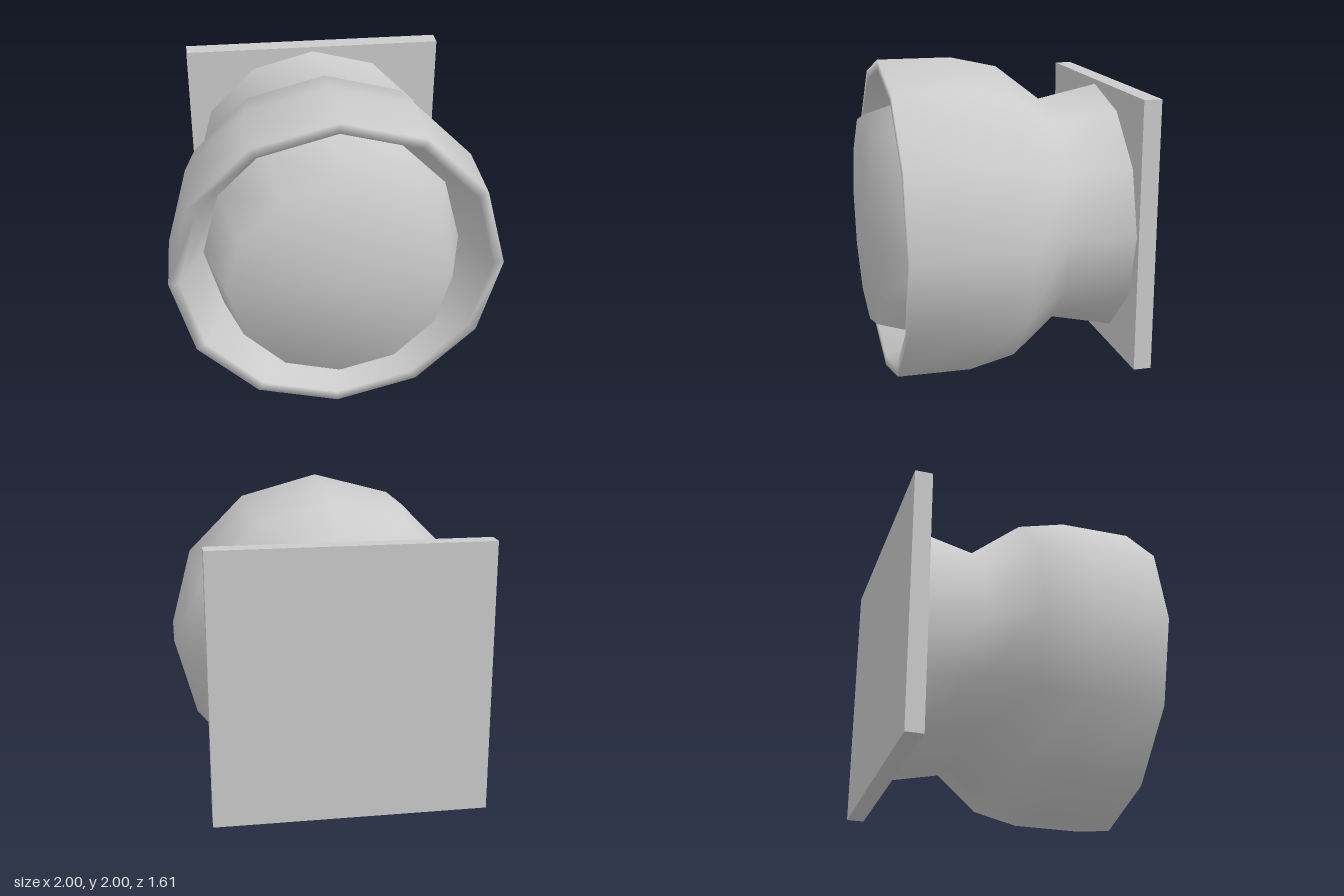
import * as THREE from 'three';

export function createModel() {
  const group = new THREE.Group();
  const material = new THREE.MeshStandardMaterial({ color: 0xcccccc });

  // Square mounting plate at the back
  const plate = new THREE.Mesh(new THREE.BoxGeometry(1.66, 1.66, 0.11), material);
  plate.name = 'mountingPlate';
  plate.position.set(0, 1, -0.745);
  group.add(plate);

  // Twelve-sided smooth turned part; profile is [radius, z] from back to front
  const turned = (name, profile) => {
    const points = profile.map(([r, z]) => new THREE.Vector2(r, z));
    const geometry = new THREE.LatheGeometry(points, 12);
    geometry.rotateX(Math.PI / 2);
    const mesh = new THREE.Mesh(geometry, material);
    mesh.name = name;
    mesh.position.y = 1;
    group.add(mesh);
  };

  // Flared neck, bulging housing, rim and the recess inside it
  turned('housing', [
    [0.8, -0.69], [0.72, -0.31], [0.935, -0.03], [1, 0.26],
    [1, 0.71], [0.935, 0.71], [0.79, 0.4],
  ]);

  // Tapered lens standing out of the recess
  turned('lens', [[0.79, 0.4], [0.667, 0.805], [0, 0.805]]);

  return group;
}
